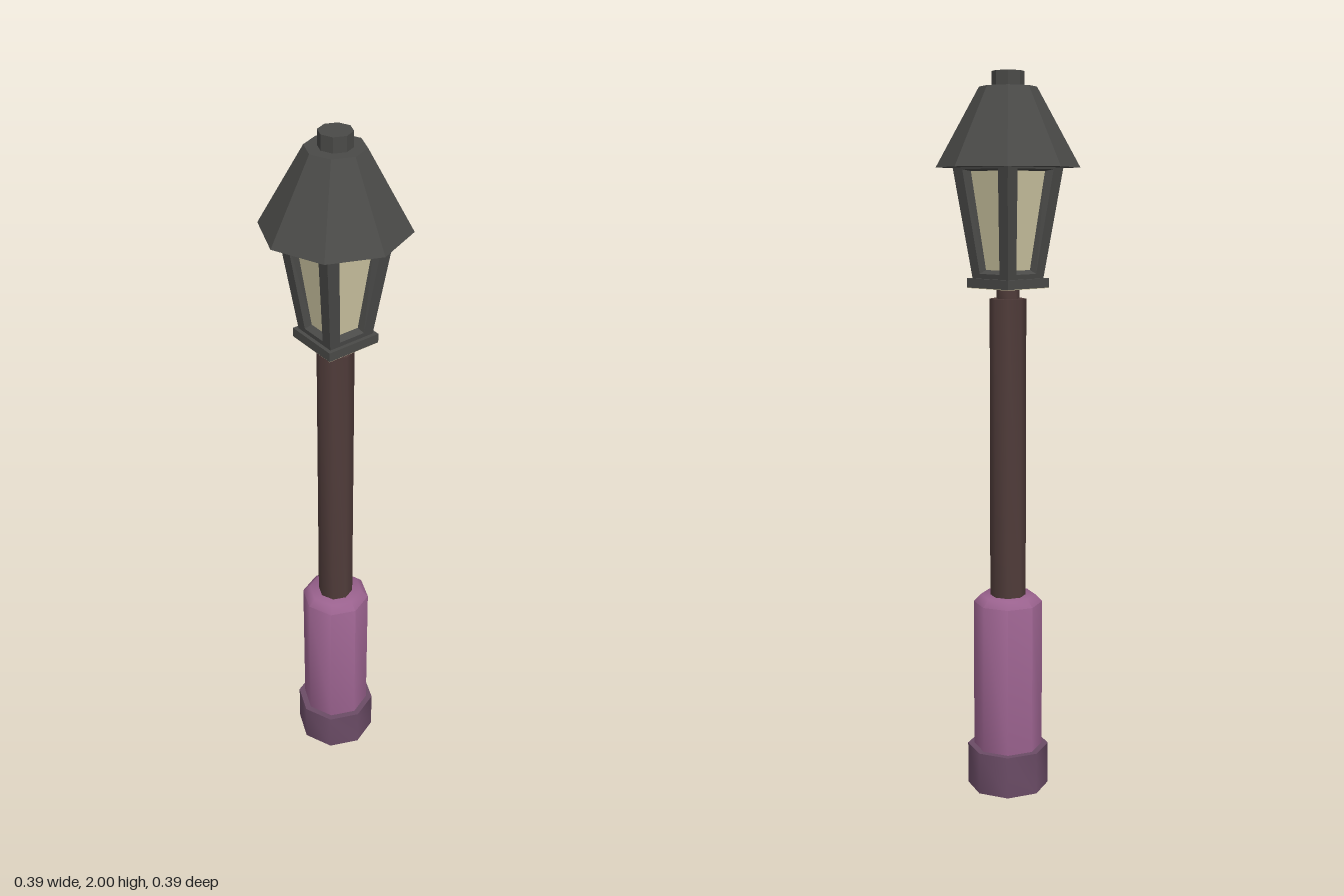
import * as THREE from 'three';
import { toCreasedNormals } from 'three/addons/utils/BufferGeometryUtils.js';

const material = (color, flatShading = false) => new THREE.MeshStandardMaterial({ color, flatShading });

export function createModel() {
  const model = new THREE.Group();
  const iron = material(0x4a4a48, true);
  const glass = material(0xd0c8a4, true);
  const pole = material(0x503c3a);

  const add = (name, geometry, mat, parent = model) => {
    const mesh = new THREE.Mesh(geometry, mat);
    mesh.name = name;
    parent.add(mesh);
    return mesh;
  };

  // Eight-sided turned part from [radius, height] points
  const turned = (name, points, mat) => {
    const profile = points.map(([r, y]) => new THREE.Vector2(r, y));
    return add(name, toCreasedNormals(new THREE.LatheGeometry(profile, 8), 0.85), mat);
  };

  // Post, from the ground up
  turned('base', [[0, 0], [0.115, 0], [0.115, 0.12], [0, 0.12]], material(0x6b4c66));
  turned('sleeve', [[0, 0.12], [0.097, 0.12], [0.097, 0.545], [0.077, 0.565], [0, 0.565]], material(0x9a628e));
  turned('pole', [[0, 0.56], [0.05, 0.56], [0.05, 1.4], [0, 1.4]], pole);
  turned('neck', [[0, 1.4], [0.031, 1.4], [0.031, 1.435], [0, 1.435]], pole);

  // Square plate under the lantern, with a pale underside
  add('lanternPlate', new THREE.BoxGeometry(0.157, 0.025, 0.157), iron).position.y = 1.4425;
  add('plateUnderside', new THREE.BoxGeometry(0.155, 0.002, 0.155), glass).position.y = 1.4295;

  // Tapered lantern: on each side a frame, its reveal and a recessed pane
  const trapezoid = (y0, x0, y1, x1, inset) => {
    const z = (y) => 0.068 + (y - 1.455) * 0.125 - inset;
    return [[-x0, y0, z(y0)], [x0, y0, z(y0)], [x1, y1, z(y1)], [-x1, y1, z(y1)]];
  };
  const loops = [
    trapezoid(1.455, 0.068, 1.75, 0.105, 0),
    trapezoid(1.468, 0.038, 1.745, 0.068, 0),
    trapezoid(1.478, 0.031, 1.74, 0.054, 0.018),
  ];
  const fromQuads = (quads) => {
    const positions = quads.flatMap(([a, b, c, d]) => [a, b, c, a, c, d]).flat();
    const geometry = new THREE.BufferGeometry();
    geometry.setAttribute('position', new THREE.Float32BufferAttribute(positions, 3));
    geometry.computeVertexNormals();
    return geometry;
  };
  const frameQuads = [];
  for (let ring = 0; ring < 2; ring++) {
    for (let i = 0; i < 4; i++) {
      const j = (i + 1) % 4;
      frameQuads.push([loops[ring][i], loops[ring][j], loops[ring + 1][j], loops[ring + 1][i]]);
    }
  }
  const frameGeometry = fromQuads(frameQuads);
  const paneGeometry = fromQuads([loops[2]]);
  for (let i = 0; i < 4; i++) {
    const side = new THREE.Group();
    side.name = 'lanternSide';
    side.rotation.y = (i * Math.PI) / 2;
    add('windowFrame', frameGeometry, iron, side);
    add('windowPane', paneGeometry, glass, side);
    model.add(side);
  }

  // Octagonal roof and finial
  add('roof', new THREE.CylinderGeometry(0.077, 0.194, 0.21, 8), iron).position.y = 1.855;
  add('finial', new THREE.CylinderGeometry(0.044, 0.044, 0.04, 8), iron).position.y = 1.98;

  return model;
}
